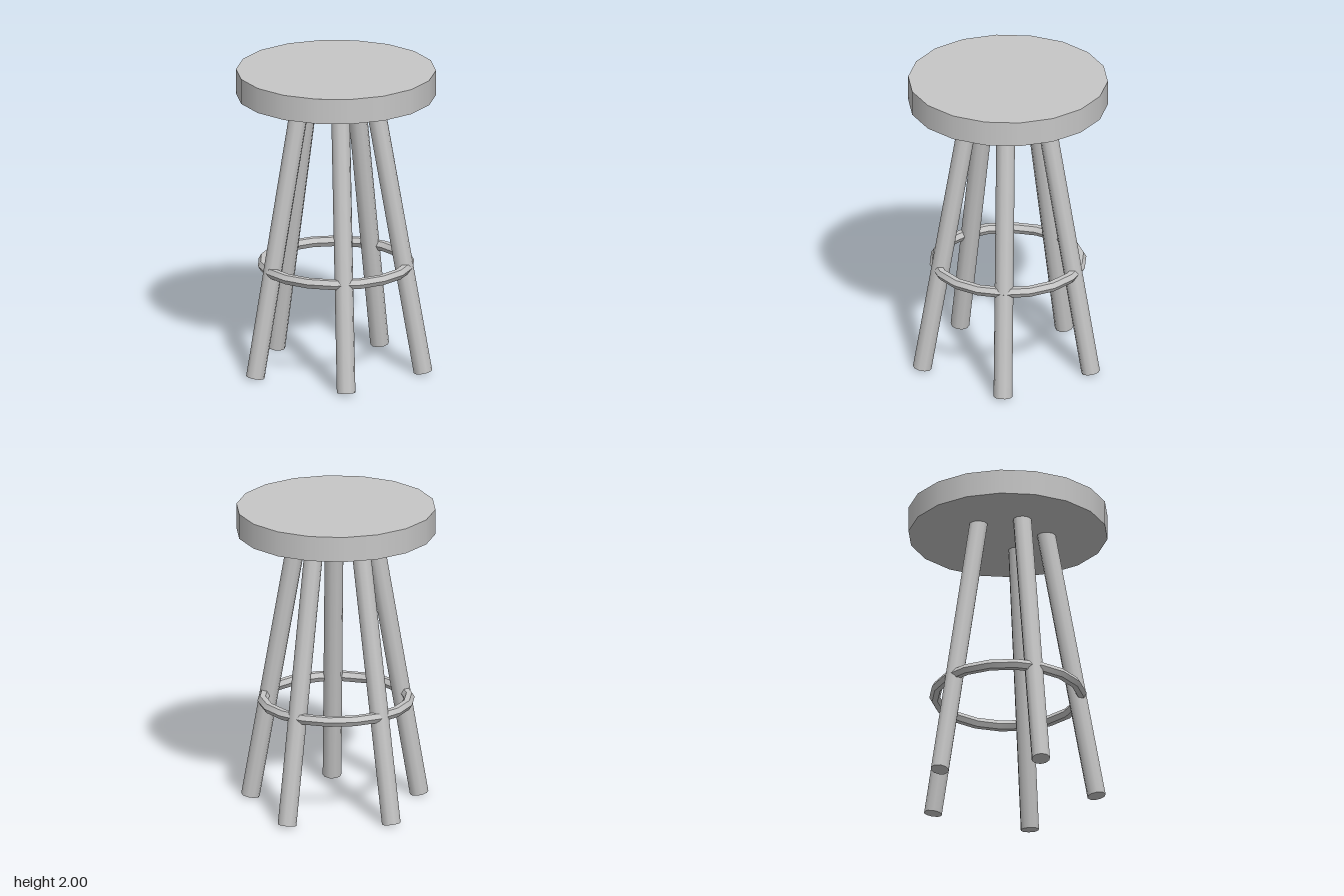
import * as THREE from 'three';
import { toCreasedNormals } from 'three/addons/utils/BufferGeometryUtils.js';

export function createModel() {
  const stool = new THREE.Group();
  stool.name = 'stool';
  const grey = new THREE.MeshStandardMaterial({ color: 0xc6c6c6 });
  grey.name = 'light grey';

  const add = (name, geometry) => {
    const mesh = new THREE.Mesh(geometry, grey);
    mesh.name = name;
    stool.add(mesh);
    return mesh;
  };

  // Round seat
  const seatHeight = 0.165;
  add('seat', new THREE.CylinderGeometry(0.64, 0.64, seatHeight, 18)).position.y = 2 - seatHeight / 2;

  // Five splayed legs, cut square to their axis, tops buried in the seat
  const legCount = 5, legRadius = 0.06, legLength = 1.9;
  const tilt = THREE.MathUtils.degToRad(10);
  const legGeometry = new THREE.CylinderGeometry(legRadius, legRadius, legLength, 10);
  legGeometry.translate(0, legLength / 2, 0);
  legGeometry.rotateZ(tilt);
  legGeometry.translate(0.568, legRadius * Math.sin(tilt), 0);
  for (let i = 0; i < legCount; i++) {
    add('leg' + (i + 1), legGeometry).rotation.y = (i / legCount) * Math.PI * 2;
  }

  // Foot ring with a six-sided section
  const ring = new THREE.TorusGeometry(0.47, 0.035, 6, 18);
  ring.rotateX(-Math.PI / 2);
  add('footRing', toCreasedNormals(ring, Math.PI / 4)).position.y = 0.705;

  return stool;
}
